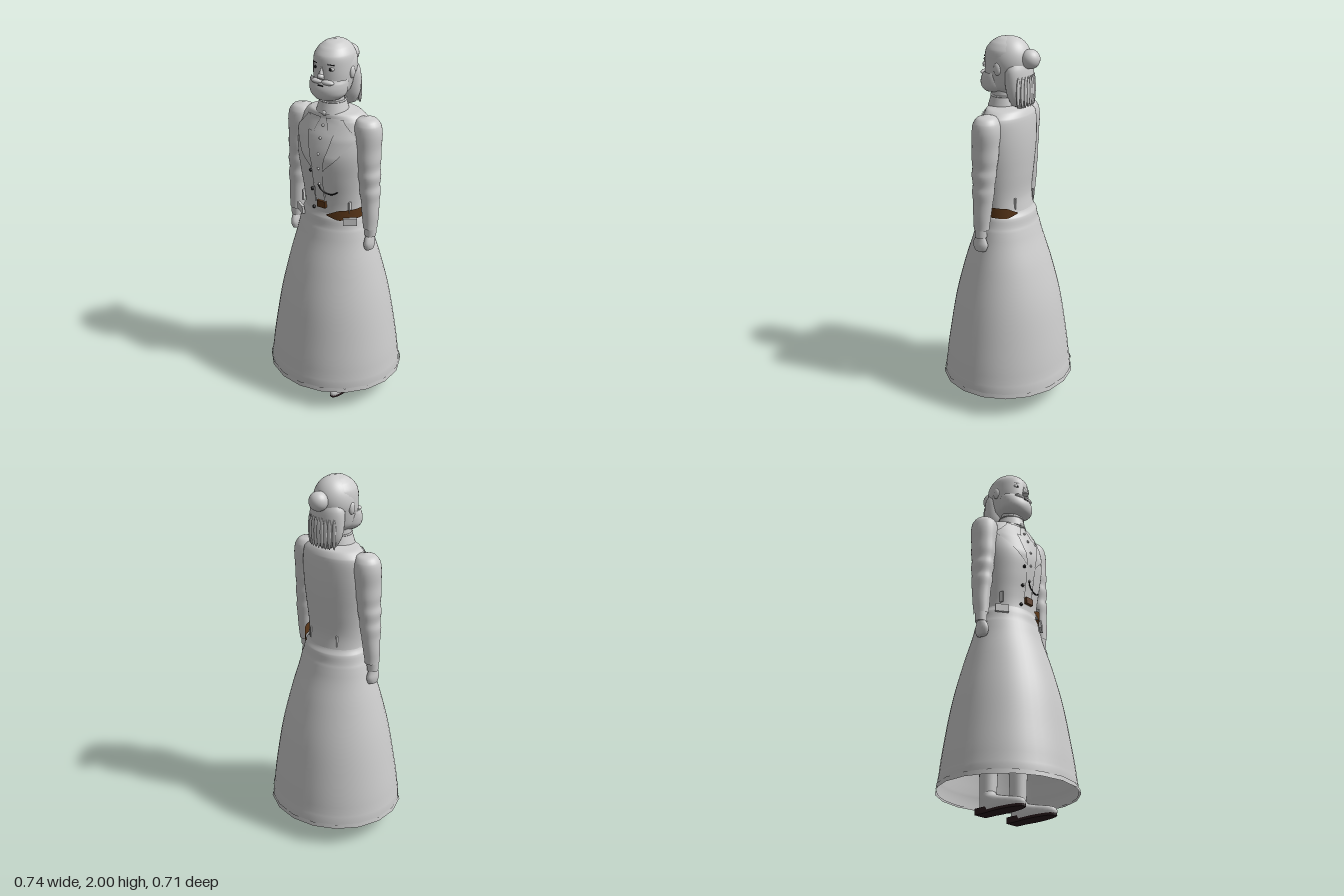
import * as THREE from 'three';

const mat = (name, color, double) => {
  const m = new THREE.MeshStandardMaterial({ color });
  m.name = name;
  if (double) m.side = THREE.DoubleSide;
  return m;
};

// Catmull-Rom through rows of numbers
function smooth(rows, steps) {
  const out = [], at = i => rows[Math.max(0, Math.min(rows.length - 1, i))];
  for (let i = 0; i < rows.length - 1; i++) {
    for (let s = 0; s < steps; s++) {
      const t = s / steps, [p, a, b, n] = [at(i - 1), at(i), at(i + 1), at(i + 2)];
      out.push(a.map((v, k) => k === 0 ? v + (b[0] - v) * t
        : v + 0.5 * t * (b[k] - p[k] + t * (2 * p[k] - 5 * v + 4 * b[k] - n[k] + t * (3 * (v - b[k]) + n[k] - p[k])))));
    }
  }
  out.push(at(rows.length - 1));
  return out;
}

// Elliptical cross-sections, bottom to top: [y, half width, front z, back z, centre x]
function loft(rows, seg = 40, steps = 5) {
  const pos = [], idx = [], rings = smooth(rows, steps);
  rings.forEach(([y, rx, zf, zb, cx = 0]) => {
    for (let i = 0; i < seg; i++) {
      const t = i / seg * Math.PI * 2;
      pos.push(cx + rx * Math.cos(t), y, (zf + zb) / 2 + (zf - zb) / 2 * Math.sin(t));
    }
  });
  for (let r = 0; r < rings.length - 1; r++) {
    for (let i = 0; i < seg; i++) {
      const a = r * seg + i, b = r * seg + (i + 1) % seg;
      idx.push(a, a + seg, b, b, a + seg, b + seg);
    }
  }
  return build(pos, idx);
}

function build(pos, idx) {
  const g = new THREE.BufferGeometry();
  g.setAttribute('position', new THREE.Float32BufferAttribute(pos, 3));
  g.setIndex(idx);
  g.computeVertexNormals();
  return g;
}

const TORSO = [[1.04, .175, .14, -.135], [1.1, .165, .135, -.12], [1.18, .17, .14, -.11], [1.3, .185, .158, -.12],
  [1.42, .2, .168, -.128], [1.52, .2, .145, -.128], [1.6, .185, .11, -.12], [1.635, .14, .1, -.1], [1.65, .07, .085, -.06]];

// Front surface of the torso
function chestZ(x, y) {
  let i = 0;
  while (i < TORSO.length - 2 && TORSO[i + 1][0] < y) i++;
  const a = TORSO[i], b = TORSO[i + 1], t = Math.max(0, Math.min(1, (y - a[0]) / (b[0] - a[0])));
  const [, rx, zf, zb] = a.map((v, k) => v + (b[k] - v) * t);
  return (zf + zb) / 2 + (zf - zb) / 2 * Math.sqrt(Math.max(0, 1 - (x / rx) ** 2));
}

// Cloth strip lying on the chest: rows of [y, inner x, outer x]
function chestStrip(rows, side, lift) {
  const pos = [], idx = [], n = 6;
  smooth(rows, 4).forEach(([y, x0, x1], r) => {
    for (let i = 0; i <= n; i++) {
      const x = x0 + (x1 - x0) * i / n;
      pos.push(side * x, y, chestZ(x, y) + lift);
      if (r && i) {
        const b = r * (n + 1) + i, a = b - n - 1;
        if (side > 0) idx.push(a - 1, a, b - 1, a, b, b - 1);
        else idx.push(a - 1, b - 1, a, a, b - 1, b);
      }
    }
  });
  return build(pos, idx);
}

export function createModel() {
  const root = new THREE.Group();
  root.name = 'robedFigure';
  const grey = mat('paleGrey', 0xcccccc), cloth = mat('paleCloth', 0xcccccc, true);
  const brown = mat('beltBrown', 0x5a3618, true), black = mat('nearBlack', 0x18181a), sole = mat('soleDark', 0x2a1c1e);
  const add = (name, geo, m, x = 0, y = 0, z = 0) => {
    const mesh = new THREE.Mesh(geo, m);
    mesh.name = name;
    mesh.position.set(x, y, z);
    root.add(mesh);
    return mesh;
  };
  const ball = (name, m, x, y, z, rx, ry = rx, rz = rx) =>
    add(name, new THREE.SphereGeometry(1, 24, 16), m, x, y, z).scale.set(rx, ry, rz);
  const box = (name, m, x, y, z, w, h, d) => add(name, new THREE.BoxGeometry(w, h, d), m, x, y, z);

  // Long open skirt with faceted hem band
  add('skirt', loft([[.125, .368, .345, -.345], [.2, .362, .338, -.335], [.4, .335, .31, -.31], [.6, .3, .275, -.275],
    [.8, .253, .222, -.22], [1, .202, .16, -.155], [1.07, .182, .145, -.138], [1.1, .166, .135, -.121]], 48), cloth);
  const hem = add('hemBand', new THREE.CylinderGeometry(.374, .377, .024, 18, 1, true), cloth, 0, .132, 0);
  hem.scale.z = .945;

  // Torso, collar and neck
  add('torso', loft(TORSO, 48), grey);
  add('collar', new THREE.CylinderGeometry(.068, .085, .06, 32), grey, 0, 1.665, .025);
  add('neck', new THREE.CylinderGeometry(.06, .063, .12, 28), grey, 0, 1.73, .03);
  const rim = add('collarRim', new THREE.TorusGeometry(.067, .005, 8, 32), grey, 0, 1.695, .025);
  rim.rotation.x = Math.PI / 2;
  ball('collarStud', grey, 0, 1.64, .1, .014);

  // Belt wrapping the left side, tapering at both ends
  const bp = [], bi = [], bn = 30;
  for (let i = 0; i <= bn; i++) {
    const t = 1.35 - 2.35 * i / bn, h = .002 + .026 * Math.min(1, 2.2 * Math.sin(Math.PI * i / bn));
    const x = .187 * Math.cos(t), z = .008 + .148 * Math.sin(t), y = 1.113 - .012 * Math.abs(Math.sin(t));
    bp.push(x, y - h, z, x, y + h, z);
    if (i) bi.push(2 * i - 2, 2 * i, 2 * i - 1, 2 * i, 2 * i + 1, 2 * i - 1);
  }
  add('belt', build(bp, bi), brown);
  box('buckle', brown, .008, 1.153, .142, .05, .036, .02);

  // Front buttons and cord
  [1.27, 1.36, 1.44, 1.52, 1.58].forEach(y => ball('shirtButton', grey, .003, y, chestZ(0, y) + .002, .007));
  [1.34, 1.23, 1.12].forEach(y => ball('coatButton', black, -.045, y, chestZ(.045, y) + .006, .009));
  const cord = [[-.005, 1.27], [.01, 1.24], [.04, 1.222], [.07, 1.22], [.1, 1.235]]
    .map(([x, y]) => new THREE.Vector3(x, y, chestZ(x, y) + .005));
  add('cord', new THREE.TubeGeometry(new THREE.CatmullRomCurve3(cord), 20, .0035, 6), black);

  for (const s of [1, -1]) {
    // Lapel, shirt collar point, coat edge and breast pocket
    add('lapel', chestStrip([[1.35, .028, .034], [1.42, .04, .1], [1.48, .058, .145], [1.53, .07, .178],
      [1.57, .08, .145], [1.62, .09, .105]], s, .01), cloth);
    add('shirtCollar', chestStrip([[1.545, .04, .09], [1.58, .03, .1], [1.62, .015, .09]], s, .006), cloth);
    add('coatEdge', chestStrip([[1.16, .024, .034], [1.26, .024, .034], [1.36, .026, .036]], s, .006), cloth);
    const flap = box('pocketFlap', grey, s * .155, 1.07, .1, .072, .042, .014);
    flap.rotation.y = s * .6;
    box('beltLoop', grey, s * .145, 1.145, .088, .008, .06, .02);
    box('backLoop', grey, s * .09, 1.145, -.094, .008, .06, .014);

    // Sleeve with soft folds, cuff and hand
    add('sleeve', loft([[1.03, .036, .066, -.018, s * .232], [1.1, .043, .068, -.026, s * .23], [1.18, .046, .071, -.036, s * .226],
      [1.23, .053, .076, -.042, s * .223], [1.27, .05, .074, -.044, s * .22], [1.32, .058, .081, -.05, s * .217],
      [1.36, .055, .079, -.051, s * .213], [1.41, .063, .084, -.057, s * .209], [1.47, .065, .083, -.059, s * .206],
      [1.54, .074, .084, -.064, s * .201], [1.59, .07, .078, -.058, s * .198], [1.62, .05, .058, -.038, s * .195],
      [1.635, .004, .014, .006, s * .19]], 28, 4), grey);
    add('cuff', new THREE.CylinderGeometry(.033, .03, .06, 24), grey, s * .235, 1.015, .026);
    add('hand', loft([[.9, .004, .034, .024, s * .232], [.908, .02, .062, 0, s * .232], [.94, .025, .074, -.012, s * .233],
      [.97, .022, .066, -.004, s * .234], [1, .02, .046, .006, s * .235]], 20, 4), grey);

    // Leg, shoe and sole
    add('leg', new THREE.CylinderGeometry(.07, .042, .75, 24), grey, s * .11, .465, -.03);
    add('shoe', loft([[.012, .044, .218, -.08], [.03, .046, .216, -.08], [.05, .045, .19, -.08], [.07, .042, .11, -.078],
      [.09, .038, .04, -.075], [.11, .033, .012, -.07], [.118, .01, -.02, -.04]], 28, 4), grey, s * .115);
    const outline = new THREE.Shape();
    outline.absellipse(0, .068, .045, .149, 0, Math.PI * 2);
    const plate = add('sole', new THREE.ExtrudeGeometry(outline, { depth: .014, bevelEnabled: false, curveSegments: 20 }), sole, s * .115, .014);
    plate.rotation.x = Math.PI / 2;
    box('heel', sole, s * .115, .016, -.04, .078, .032, .08);

    // Face pairs
    ball('eye', grey, s * .043, 1.876, .104, .017, .012, .012);
    ball('pupil', black, s * .043, 1.876, .114, .008, .008, .004);
    const brow = box('eyebrow', black, s * .045, 1.898, .108, .034, .005, .008);
    brow.rotation.set(0, s * .4, s * -.1);
    ball('ear', grey, s * .102, 1.845, .005, .012, .032, .02);
    ball('moustache', grey, s * .03, 1.808, .118, .036, .013, .02);
  }

  // Head, nose and mouth
  add('head', loft([[1.71, .05, .09, -.04], [1.75, .085, .118, -.075], [1.82, .1, .123, -.095], [1.88, .103, .124, -.108],
    [1.93, .098, .118, -.105], [1.965, .076, .09, -.08], [1.988, .045, .055, -.045], [2, .002, .004, 0]], 36), grey);
  const nose = add('nose', new THREE.ConeGeometry(.018, .07, 16), grey, 0, 1.862, .127);
  nose.rotation.x = -.2;
  ball('noseTip', grey, 0, 1.84, .135, .017, .014, .017);
  box('mouth', black, 0, 1.793, .136, .03, .006, .008);

  // Beard, cropped hair, hanging back hair and bun
  add('beard', loft([[1.705, .01, .09, .06], [1.715, .065, .128, .01], [1.74, .094, .143, -.015], [1.77, .102, .145, -.02],
    [1.8, .103, .134, -.015], [1.82, .1, .118, -.01]], 36), grey);
  const crop = add('hairCrop', new THREE.SphereGeometry(1, 32, 16, 0, Math.PI * 2, 0, Math.PI * .55), cloth, 0, 1.87, -.006);
  crop.scale.set(.106, .129, .112);
  crop.rotation.x = -.35;
  add('backHair', loft([[1.64, .03, -.06, -.095], [1.66, .07, -.035, -.115], [1.71, .095, -.015, -.127], [1.77, .103, -.005, -.129],
    [1.84, .1, 0, -.122], [1.9, .07, 0, -.105]], 36), grey);
  for (let i = -4; i <= 4; i++) {
    const lock = i * .02, z = -.066 - .062 * Math.sqrt(1 - (lock / .1) ** 2);
    ball('hairLock', grey, lock, 1.73, z, .012, .08, .008);
  }
  ball('bun', grey, 0, 1.892, -.127, .05);
  return root;
}
